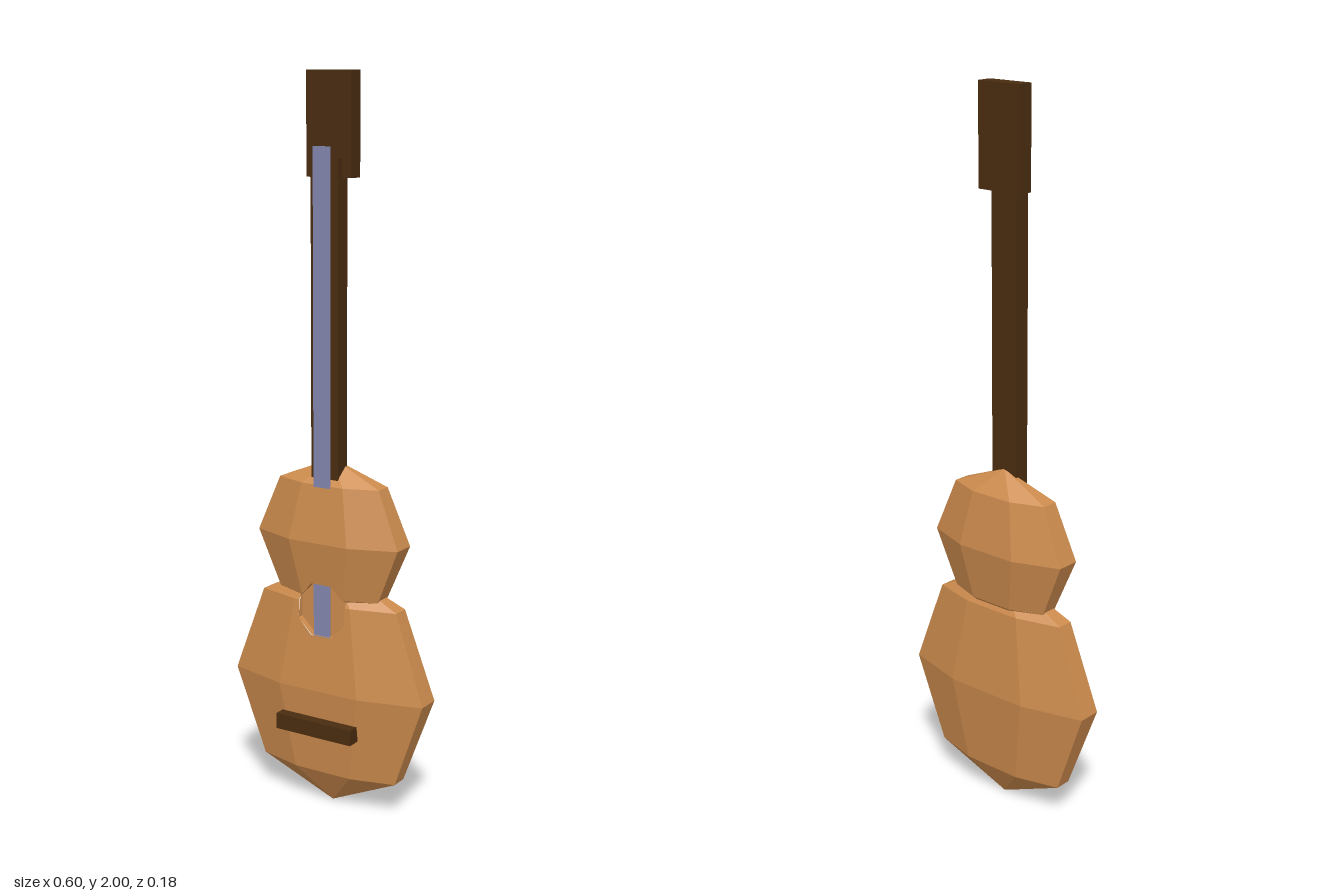
import * as THREE from 'three';

const wood = new THREE.MeshStandardMaterial({ color: 0xcc8b4d, flatShading: true });
wood.name = 'honeyWood';
const dark = new THREE.MeshStandardMaterial({ color: 0x4a2c10, flatShading: true });
dark.name = 'darkWood';
const steel = new THREE.MeshStandardMaterial({ color: 0x8486b0, flatShading: true });
steel.name = 'stringSteel';

// Sound hole: an octagon sunk into the waist
const HOLE_Y = 0.572, HOLE_R = 0.079, FLOOR_Z = 0.03, BODY_Z = -0.013;
const hole = [];
for (let i = 0; i < 8; i++) {
  const a = Math.PI / 8 + (i * Math.PI) / 4;
  hole.push(new THREE.Vector2(HOLE_R * Math.cos(a), HOLE_Y + HOLE_R * Math.sin(a)));
}

// Signed distance outside one edge of the octagon
function outside(p, i) {
  const a = ((i + 1) * Math.PI) / 4;
  return p.x * Math.cos(a) + (p.y - HOLE_Y) * Math.sin(a) - HOLE_R * Math.cos(Math.PI / 8);
}

// Cut a polygon by one octagon edge, keeping the chosen side
function clip(poly, i, sign) {
  const out = [];
  poly.forEach((p, k) => {
    const q = poly[(k + 1) % poly.length];
    const dp = sign * outside(p, i), dq = sign * outside(q, i);
    if (dp >= 0) out.push(p);
    if (dp * dq < 0) out.push(p.clone().lerp(q, dp / (dp - dq)));
  });
  return out;
}

function fromPoints(points) {
  const g = new THREE.BufferGeometry().setFromPoints(points);
  g.computeVertexNormals();
  return g;
}

// Faceted bulb with the sound hole cut from its front faces
function bulb(rx, ry, y) {
  const g = new THREE.SphereGeometry(1, 8, 4, Math.PI / 8).toNonIndexed();
  g.scale(rx, ry, 0.0866).translate(0, y, BODY_Z);
  const pos = g.attributes.position, pts = [];
  for (let t = 0; t < pos.count; t += 3) {
    let rest = [0, 1, 2].map((k) => new THREE.Vector3().fromBufferAttribute(pos, t + k));
    const emit = (poly) => {
      for (let k = 1; k < poly.length - 1; k++) pts.push(poly[0], poly[k], poly[k + 1]);
    };
    const n = new THREE.Triangle(...rest).getNormal(new THREE.Vector3());
    if (n.z > 0.05) {
      for (let i = 0; i < 8 && rest.length > 2; i++) {
        emit(clip(rest, i, 1));
        rest = clip(rest, i, -1);
      }
    } else emit(rest);
  }
  return fromPoints(pts);
}

// Floor and inward-facing wall of the sound hole
function holeLining() {
  const rimZ = (y) => (y < 0.56 ? 0.0485 : y < 0.62 ? 0.038 : 0.049);
  const at = (p, z) => new THREE.Vector3(p.x, p.y, z);
  const centre = new THREE.Vector3(0, HOLE_Y, FLOOR_Z), pts = [];
  hole.forEach((p, i) => {
    const q = hole[(i + 1) % 8];
    const a = at(p, FLOOR_Z), b = at(q, FLOOR_Z), c = at(q, rimZ(q.y)), d = at(p, rimZ(p.y));
    pts.push(centre, a, b, a, c, b, a, d, c);
  });
  return fromPoints(pts);
}

// Box given by its limits on each axis
function box(x, y0, y1, z0, z1) {
  return new THREE.BoxGeometry(2 * x, y1 - y0, z1 - z0).translate(0, (y0 + y1) / 2, (z0 + z1) / 2);
}

export function createModel() {
  const group = new THREE.Group();
  group.name = 'guitar';
  const add = (name, geometry, material) => {
    const mesh = new THREE.Mesh(geometry, material);
    mesh.name = name;
    group.add(mesh);
  };

  // Body
  add('lowerBody', bulb(0.327, 0.346, 0.346), wood);
  add('upperBody', bulb(0.24, 0.22, 0.765), wood);
  add('soundHole', holeLining(), wood);

  // Neck, head and bridge
  add('neck', box(0.042, 0.85, 1.78, -0.015, 0.03), dark);
  add('head', box(0.068, 1.73, 2, -0.035, 0.01), dark);
  add('bridge', box(0.12, 0.222, 0.266, 0.045, 0.091), dark);

  // Band of strings, running under the top and across the sound hole
  add('strings', box(0.026, 0.3, 1.81, 0.0405, 0.0445), steel);
  return group;
}
